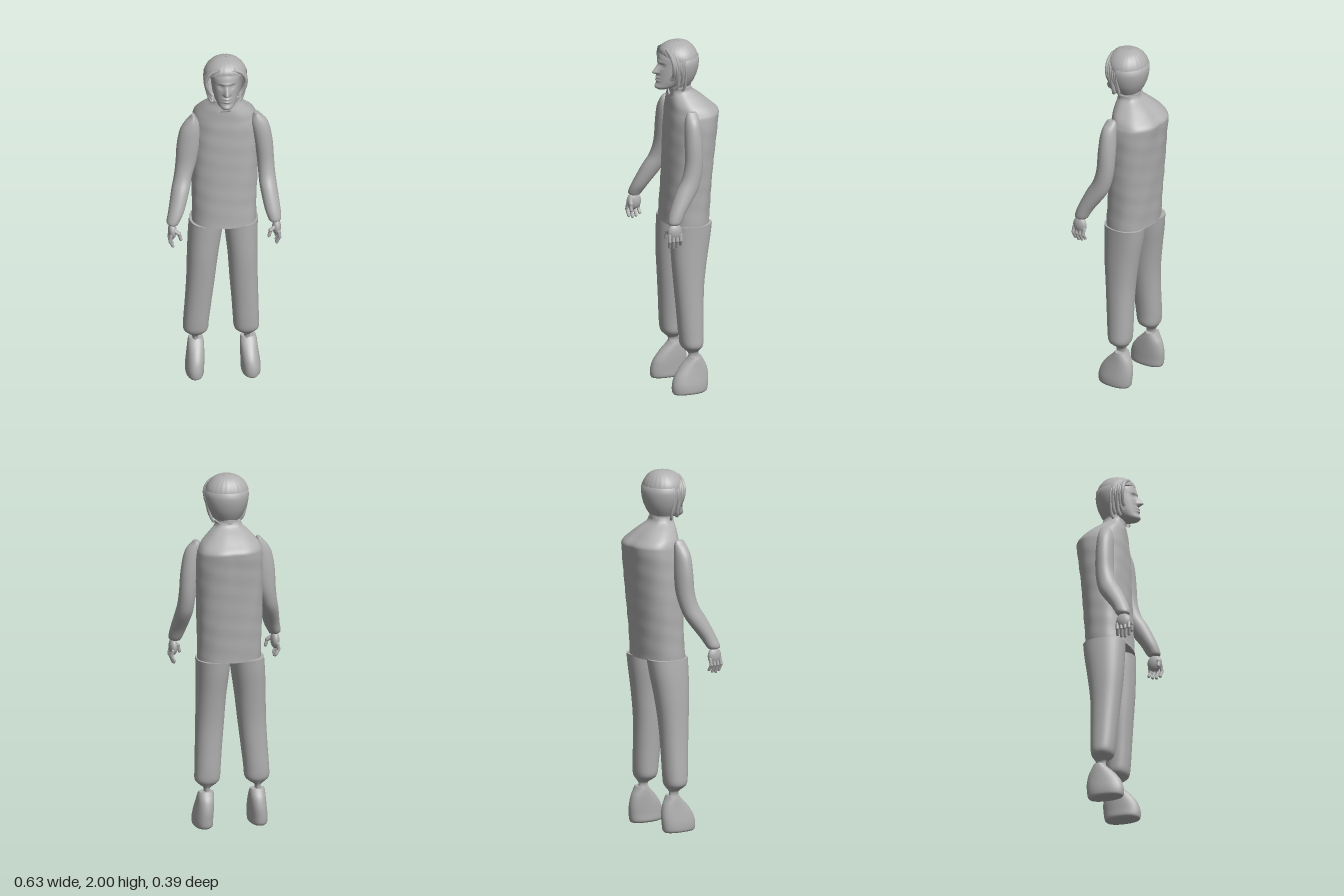
import * as THREE from 'three';

const grey = new THREE.MeshStandardMaterial({ color: 0xb0b0b0, side: THREE.DoubleSide });
grey.name = 'plain grey';

function add(parent, name, geometry) {
  const mesh = new THREE.Mesh(geometry, grey);
  mesh.name = name;
  parent.add(mesh);
  return mesh;
}

// Smooth interpolation of one column of a row table
function sample(rows, t, c) {
  const i = Math.min(Math.floor(t), rows.length - 2), u = t - i;
  const p = k => rows[Math.min(Math.max(k, 0), rows.length - 1)][c];
  const a = p(i - 1), b = p(i), d = p(i + 1), e = p(i + 2);
  return b + 0.5 * u * (d - a + u * (2 * a - 5 * b + 4 * d - e + u * (3 * (b - d) + e - a)));
}

// Closed body through horizontal sections, rows from low to high: [y, x0, x1, z0, z1]
function loft(rows, { seg = 32, sub = 3, power = 2, warp = null } = {}) {
  const pos = [], index = [], rings = (rows.length - 1) * sub;
  for (let r = 0; r <= rings; r++) {
    const [y, x0, x1, z0, z1] = [0, 1, 2, 3, 4].map(c => sample(rows, r / sub, c));
    for (let s = 0; s < seg; s++) {
      const a = s / seg * Math.PI * 2, round = v => Math.sign(v) * Math.abs(v) ** (2 / power);
      const p = new THREE.Vector3((x0 + x1) / 2 + round(Math.cos(a)) * (x1 - x0) / 2, y,
        (z0 + z1) / 2 + round(Math.sin(a)) * (z1 - z0) / 2);
      if (warp) warp(p, a);
      pos.push(p.x, p.y, p.z);
      if (r < rings) {
        const b = r * seg + s, c = r * seg + (s + 1) % seg;
        index.push(b, b + seg, c, c, b + seg, c + seg);
      }
    }
  }
  // Separate end caps keep their rims crisp
  for (const r of [0, rings]) {
    const start = pos.length / 3, ring = pos.slice(r * seg * 3, (r + 1) * seg * 3), mid = [0, 0, 0];
    ring.forEach((v, i) => { mid[i % 3] += v / seg; });
    pos.push(...ring, ...mid);
    for (let s = 0; s < seg; s++) {
      const b = start + s, c = start + (s + 1) % seg;
      index.push(...(r ? [b, start + seg, c] : [b, c, start + seg]));
    }
  }
  const g = new THREE.BufferGeometry();
  g.setAttribute('position', new THREE.Float32BufferAttribute(pos, 3));
  g.setIndex(index);
  g.computeVertexNormals();
  return g;
}

// Rounded rod between two points
function rod(parent, name, a, b, radius) {
  const p = new THREE.Vector3(...a), q = new THREE.Vector3(...b), d = q.clone().sub(p);
  const m = add(parent, name, new THREE.CapsuleGeometry(radius, d.length(), 4, 10));
  m.position.copy(p).add(q).multiplyScalar(0.5);
  m.quaternion.setFromUnitVectors(new THREE.Vector3(0, 1, 0), d.normalize());
}

const bump = (v, centre, width) => Math.exp(-(((v - centre) / width) ** 2));

function buildHead(head) {
  const cx = 0.015;
  add(head, 'neck', loft([
    [1.66, -0.04, 0.07, -0.05, 0.05], [1.72, -0.043, 0.073, -0.055, 0.068], [1.8, -0.04, 0.07, -0.05, 0.075]]));
  // Face with nose, eye sockets, brow, lips and chin pressed into the front
  const face = (p, a) => {
    const front = Math.max(0, Math.sin(a)) ** 2, x = p.x - cx, ax = Math.abs(x), y = p.y;
    const nose = y > 1.832 ? Math.max(0, 1 - (y - 1.832) / 0.05) : Math.max(0, 1 - (1.832 - y) / 0.016);
    p.z += front * (0.036 * nose * bump(x, 0, 0.009 + 0.006 * nose)
      - 0.013 * bump(ax, 0.032, 0.014) * bump(y, 1.872, 0.012)
      + 0.006 * bump(ax, 0.032, 0.009) * bump(y, 1.871, 0.005)
      + 0.005 * bump(x, 0, 0.05) * bump(y, 1.892, 0.008)
      + 0.009 * bump(x, 0, 0.022) * (bump(y, 1.802, 0.006) + bump(y, 1.786, 0.006))
      + 0.006 * bump(x, 0, 0.025) * bump(y, 1.752, 0.012));
  };
  add(head, 'face', loft([
    [1.732, -0.005, 0.035, 0.08, 0.138], [1.745, -0.028, 0.058, 0.03, 0.15], [1.77, -0.045, 0.075, -0.02, 0.146],
    [1.8, -0.055, 0.085, -0.045, 0.143], [1.84, -0.062, 0.092, -0.06, 0.14], [1.88, -0.066, 0.096, -0.07, 0.136],
    [1.92, -0.068, 0.098, -0.07, 0.13], [1.955, -0.055, 0.085, -0.06, 0.108], [1.98, -0.03, 0.06, -0.03, 0.07]],
  { seg: 96, sub: 9, warp: face }));
  // Cap of hair whose hairline rises over the forehead
  const comb = (p, a) => {
    const f = Math.max(0, Math.sin(a)) ** 1.5;
    p.y = 2 - (2 - p.y) * (1 - 0.4 * f);
    p.z += 0.0015 * Math.sin(a * 24);
  };
  add(head, 'hairTop', loft([
    [1.895, -0.104, 0.134, -0.09, 0.122], [1.925, -0.1, 0.13, -0.086, 0.12], [1.955, -0.084, 0.114, -0.072, 0.106],
    [1.982, -0.055, 0.085, -0.048, 0.08], [1.996, -0.02, 0.05, -0.018, 0.045], [2, 0.012, 0.018, 0.01, 0.016]],
  { seg: 72, warp: comb }));
  // Half shell behind the ears
  const shell = [[0.072, 1.75], [0.092, 1.78], [0.108, 1.815], [0.117, 1.85], [0.121, 1.88], [0.119, 1.915], [0.1, 1.92]];
  const back = add(head, 'hairBack', new THREE.LatheGeometry(
    shell.map(p => new THREE.Vector2(...p)), 32, Math.PI / 2, Math.PI));
  back.position.set(cx, 0, 0.02);
  back.scale.z = 0.96;
  // Loose locks framing the cheeks
  for (const side of [-1, 1]) {
    for (let i = 0; i < 6; i++) {
      const z = 0.088 - i * 0.013, drop = 1.82 - (i % 3) * 0.022 - i * 0.005;
      const path = new THREE.CatmullRomCurve3([
        [0.035 + i * 0.008, 1.965 - i * 0.004, z + 0.012], [0.084, 1.94, z + 0.006], [0.108, 1.9, z],
        [0.107 + (i % 2) * 0.006, 1.86, z - 0.004], [0.088, drop, z - 0.006], [0.074, drop - 0.02, z + 0.002]
      ].map(([x, y, w]) => new THREE.Vector3(cx + side * x, y, w)));
      add(head, 'hairLock', new THREE.TubeGeometry(path, 20, 0.011 - (i % 2) * 0.003, 7));
    }
  }
}

function buildTorso(group) {
  const cloth = (p, a) => {
    const w = 0.002 * Math.sin(p.y * 37 + a * 3) * Math.sin(p.y * 23 - a * 5);
    p.x += w * Math.cos(a);
    p.z += w * Math.sin(a);
    // Slight dip along the spine and an open neckline at the front
    if (Math.sin(a) < 0) p.z += 0.006 * bump(p.x, 0.02, 0.025) * bump(p.y, 1.6, 0.15);
    if (p.y > 1.69) p.y -= 0.05 * bump(p.x, 0.015, 0.025) * Math.max(0, Math.sin(a));
  };
  add(group, 'shirt', loft([
    [0.96, -0.165, 0.19, -0.14, 0.11], [1.08, -0.165, 0.19, -0.148, 0.102], [1.2, -0.167, 0.195, -0.157, 0.096],
    [1.35, -0.167, 0.2, -0.17, 0.09], [1.48, -0.165, 0.203, -0.184, 0.085], [1.57, -0.162, 0.2, -0.195, 0.08],
    [1.605, -0.155, 0.188, -0.195, 0.078], [1.64, -0.138, 0.165, -0.16, 0.076], [1.68, -0.105, 0.125, -0.112, 0.073],
    [1.715, -0.066, 0.087, -0.066, 0.071], [1.74, -0.055, 0.083, -0.054, 0.072]],
  { seg: 56, sub: 5, power: 2.3, warp: cloth }));
}

// Right and left limbs differ a little, so their x ranges are listed: [y, right x0, x1, left x0, x1, z0, z1]
const legRows = [
  [0.195, -0.163, -0.131, 0.122, 0.156, -0.05, 0.008], [0.225, -0.165, -0.13, 0.121, 0.158, -0.05, 0.01],
  [0.245, -0.19, -0.1, 0.09, 0.182, -0.06, 0.03], [0.27, -0.213, -0.078, 0.066, 0.203, -0.073, 0.05],
  [0.33, -0.213, -0.072, 0.06, 0.203, -0.078, 0.059], [0.45, -0.205, -0.058, 0.052, 0.2, -0.08, 0.068],
  [0.6, -0.197, -0.04, 0.04, 0.196, -0.086, 0.08], [0.75, -0.193, -0.022, 0.03, 0.195, -0.105, 0.092],
  [0.88, -0.187, -0.002, 0.016, 0.196, -0.127, 0.096], [0.965, -0.18, 0.01, 0.01, 0.198, -0.138, 0.097]];
const footRows = [
  [0, -0.195, -0.112, 0.115, 0.202, -0.08, 0.103], [0.012, -0.203, -0.102, 0.103, 0.21, -0.092, 0.11],
  [0.05, -0.204, -0.1, 0.102, 0.21, -0.098, 0.111], [0.1, -0.198, -0.098, 0.1, 0.203, -0.1, 0.095],
  [0.15, -0.192, -0.098, 0.099, 0.196, -0.09, 0.058], [0.185, -0.188, -0.1, 0.1, 0.192, -0.072, 0.022],
  [0.205, -0.184, -0.104, 0.103, 0.187, -0.062, 0.005]];
const armRows = [
  [1.03, -0.305, -0.255, 0.248, 0.302, 0.122, 0.178], [1.045, -0.318, -0.247, 0.24, 0.313, 0.108, 0.187],
  [1.1, -0.306, -0.218, 0.222, 0.31, 0.077, 0.172], [1.2, -0.285, -0.185, 0.202, 0.297, 0.006, 0.128],
  [1.27, -0.268, -0.168, 0.196, 0.289, -0.02, 0.088], [1.35, -0.258, -0.143, 0.19, 0.284, -0.033, 0.068],
  [1.45, -0.252, -0.124, 0.178, 0.278, -0.036, 0.064], [1.54, -0.236, -0.12, 0.163, 0.264, -0.032, 0.06],
  [1.59, -0.21, -0.127, 0.157, 0.246, -0.027, 0.052], [1.62, -0.182, -0.142, 0.168, 0.218, -0.022, 0.042],
  [1.635, -0.17, -0.15, 0.178, 0.203, -0.015, 0.033]];

function buildHand(hand) {
  const palm = add(hand, 'palm', new THREE.SphereGeometry(1, 20, 14));
  palm.position.set(0.287, 0.99, 0.153);
  palm.scale.set(0.024, 0.048, 0.042);
  for (let i = 0; i < 4; i++) {
    const z = 0.186 - i * 0.022, tip = [0.908, 0.9, 0.904, 0.916][i];
    rod(hand, 'fingerBase', [0.295, 0.975, z], [0.302, 0.942, z + 0.002], 0.0095);
    rod(hand, 'fingerTip', [0.302, 0.942, z + 0.002], [0.286, tip, z - 0.002], 0.0085);
  }
  rod(hand, 'thumbBase', [0.283, 1.005, 0.175], [0.252, 0.985, 0.185], 0.012);
  rod(hand, 'thumbTip', [0.252, 0.985, 0.185], [0.243, 0.952, 0.187], 0.0095);
}

export function createModel() {
  const model = new THREE.Group();
  model.name = 'standingFigure';
  const head = new THREE.Group();
  head.name = 'head';
  model.add(head);
  buildHead(head);
  buildTorso(model);
  for (const [name, k, sign] of [['right', 1, -1], ['left', 3, 1]]) {
    const pick = rows => rows.map(r => [r[0], r[k], r[k + 1], r[5], r[6]]);
    add(model, name + 'Leg', loft(pick(legRows), { seg: 36, sub: 4, power: 2.2 }));
    add(model, name + 'Foot', loft(pick(footRows), { seg: 36, sub: 4, power: 2.2 }));
    add(model, name + 'Arm', loft(pick(armRows), { seg: 32, sub: 4 }));
    const hand = new THREE.Group();
    hand.name = name + 'Hand';
    hand.scale.x = sign;
    buildHand(hand);
    model.add(hand);
  }
  return model;
}
